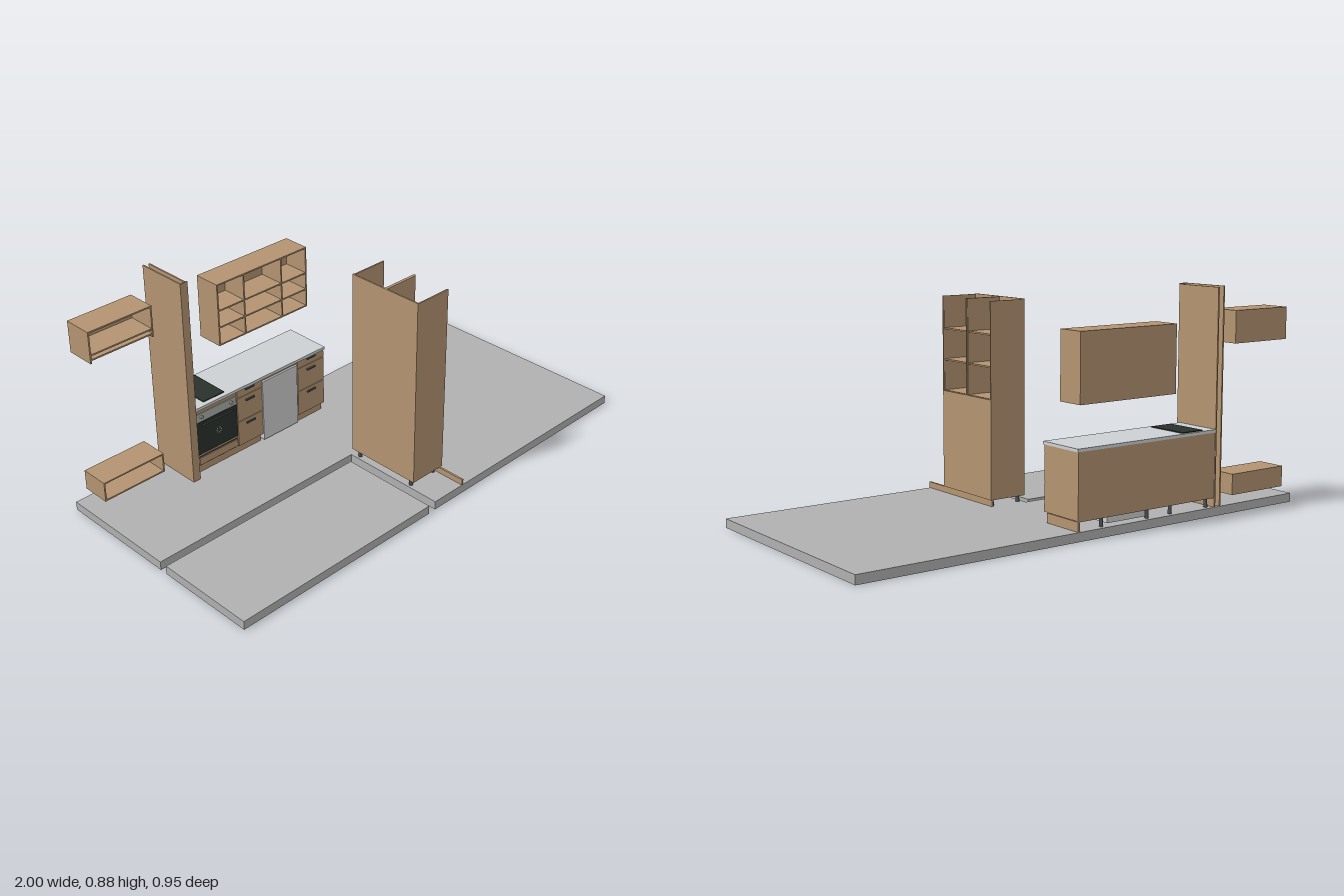
import * as THREE from 'three';

const mat = (name, color) => {
  const m = new THREE.MeshStandardMaterial({ color });
  m.name = name;
  return m;
};

export function createModel() {
  const wood = mat('wood', 0xb39471);
  const stone = mat('floorGrey', 0xb0b0b0);
  const counter = mat('worktopGrey', 0xcdd0d2);
  const white = mat('applianceWhite', 0xcccdce);
  const steel = mat('steel', 0xa8aea8);
  const black = mat('blackGlass', 0x2a322c);
  const dark = mat('darkMetal', 0x4a4f58);

  const model = new THREE.Group();
  const T = 0.006; // board thickness

  // box given by its minimum and maximum on each axis
  function box(parent, name, m, x0, x1, y0, y1, z0, z1) {
    const mesh = new THREE.Mesh(new THREE.BoxGeometry(x1 - x0, y1 - y0, z1 - z0), m);
    mesh.position.set((x0 + x1) / 2, (y0 + y1) / 2, (z0 + z1) / 2);
    mesh.name = name;
    parent.add(mesh);
    return mesh;
  }
  function group(name) {
    const g = new THREE.Group();
    g.name = name;
    model.add(g);
    return g;
  }
  function foot(parent, x, z, y1) {
    const f = new THREE.Mesh(new THREE.CylinderGeometry(0.006, 0.008, y1 - 0.035, 12), dark);
    f.position.set(x, (y1 + 0.035) / 2, z);
    f.name = 'foot';
    parent.add(f);
  }

  // Floor: an L-shaped slab and a separate smaller slab
  const floor = group('floor');
  const L = new THREE.Shape([[-1, 0.475], [1, 0.475], [1, -0.47], [-0.055, -0.47], [-0.055, -0.028], [-1, -0.028]]
    .map(([x, y]) => new THREE.Vector2(x, y)).reverse());
  const slab = new THREE.Mesh(new THREE.ExtrudeGeometry(L, { depth: 0.035, bevelEnabled: false }), stone);
  slab.rotation.x = -Math.PI / 2;
  slab.name = 'mainSlab';
  floor.add(slab);
  box(floor, 'smallSlab', stone, -1, -0.09, 0, 0.035, 0.06, 0.472);

  // Tall cabinet: closed below, open shelves above facing +x, no top
  const tall = group('tallCabinet');
  const tx0 = -0.052, tx1 = 0.108;
  box(tall, 'backBoard', wood, tx0, tx0 + T, 0.062, 0.826, 0.032, 0.356);
  for (const z of [0.032, 0.188, 0.194, 0.35])
    box(tall, 'uprightBoard', wood, tx0 + T, tx1 - 0.004, 0.062, 0.824, z, z + T);
  for (const y of [0.062, 0.446, 0.57, 0.693])
    box(tall, 'shelf', wood, tx0 + T, tx1 - 0.006, y, y + T, 0.036, 0.352);
  box(tall, 'door', wood, tx1 - 0.004, tx1, 0.062, 0.45, 0.032, 0.356);
  for (const z of [0.032, 0.191, 0.351])
    box(tall, 'frontEdge', wood, tx1 - 0.005, tx1, 0.45, 0.824, z, z + 0.005);
  box(tall, 'plinthBoard', wood, 0.094, 0.102, 0.036, 0.06, 0.036, 0.47);
  for (const x of [-0.038, 0.084]) for (const z of [0.06, 0.33]) foot(tall, x, z, 0.062);

  // Tall hollow pillar beside the kitchen run
  const pillar = group('pillar');
  box(pillar, 'frontBoard', wood, -0.61, -0.577, 0.035, 0.88, -0.268, -0.262);
  box(pillar, 'outerBoard', wood, -0.61, -0.604, 0.035, 0.88, -0.475, -0.268);
  box(pillar, 'innerBoard', wood, -0.583, -0.577, 0.035, 0.876, -0.475, -0.268);

  // Open box with a back, built from boards
  function openBox(name, x0, x1, y0, y1, z1, shelves, dividers) {
    const g = group(name), z0 = -0.475;
    box(g, 'back', wood, x0, x1, y0, y1, z0, z0 + 0.004);
    for (const x of [x0, x1 - T]) box(g, 'side', wood, x, x + T, y0, y1, z0 + 0.004, z1);
    box(g, 'top', wood, x0 + T, x1 - T, y1 - T, y1, z0 + 0.004, z1);
    for (const y of shelves) box(g, 'shelf', wood, x0 + T, x1 - T, y, y + T, z0 + 0.004, z1 - 0.001);
    for (const x of dividers) box(g, 'divider', wood, x - T / 2, x + T / 2, y0, y1 - T, z0 + 0.004, z1 - 0.0005);
  }
  openBox('upperWallShelf', -0.948, -0.672, 0.658, 0.784, -0.356, [0.668, 0.687], []);
  openBox('lowerWallShelf', -0.948, -0.672, 0.07, 0.152, -0.356, [0.07], []);
  openBox('wallCabinet', -0.368, 0.086, 0.492, 0.752, -0.362, [0.492, 0.566, 0.637], [-0.236, -0.046]);

  // Kitchen run
  const run = group('kitchenRun');
  const zF = -0.284;
  box(run, 'worktop', counter, -0.577, 0.095, 0.325, 0.337, -0.475, -0.275);
  box(run, 'backPanel', wood, -0.575, 0.092, 0.072, 0.325, -0.475, -0.468);
  box(run, 'ovenCabinet', wood, -0.575, -0.366, 0.075, 0.325, -0.468, zF);
  box(run, 'drawerCabinet', wood, -0.366, -0.238, 0.075, 0.325, -0.468, zF);
  box(run, 'endCabinet', wood, -0.05, 0.092, 0.075, 0.325, -0.468, zF);
  box(run, 'dishwasher', white, -0.236, -0.054, 0.046, 0.312, -0.462, -0.278);
  box(run, 'dishwasherTopRail', wood, -0.238, -0.05, 0.314, 0.325, -0.468, zF);
  box(run, 'leftPlinth', wood, -0.575, -0.24, 0.036, 0.073, -0.305, -0.297);
  box(run, 'rightPlinth', wood, -0.05, 0.092, 0.036, 0.073, -0.305, -0.297);
  box(run, 'endPlinth', wood, 0.084, 0.092, 0.036, 0.073, -0.475, -0.305);
  for (const x of [-0.555, -0.37, -0.255, -0.035]) for (const z of [-0.45, -0.32]) foot(run, x, z, 0.075);

  // Drawer fronts with bar handles
  for (const [x0, x1] of [[-0.365, -0.239], [-0.049, 0.092]]) {
    const c = (x0 + x1) / 2;
    for (const [y0, y1, h] of [[0.076, 0.184, 0.167], [0.187, 0.29, 0.27], [0.293, 0.324, 0.319]]) {
      box(run, 'drawerFront', wood, x0, x1, y0, y1, zF, zF + 0.005);
      box(run, 'handle', dark, c - 0.022, c + 0.022, h - 0.003, h + 0.003, zF + 0.005, zF + 0.011);
    }
  }

  // Oven with control strip, glass door and lower drawer
  const oven = group('oven');
  box(oven, 'controlPanel', steel, -0.566, -0.369, 0.27, 0.306, zF, zF + 0.004);
  box(oven, 'door', black, -0.566, -0.369, 0.128, 0.27, zF, zF + 0.006);
  box(oven, 'doorHandle', dark, -0.545, -0.39, 0.252, 0.257, zF + 0.006, zF + 0.012);
  for (const x of [-0.54, -0.395]) {
    const knob = new THREE.Mesh(new THREE.CylinderGeometry(0.007, 0.007, 0.008, 16), steel);
    knob.rotation.x = Math.PI / 2;
    knob.position.set(x, 0.29, zF + 0.006);
    knob.name = 'knob';
    oven.add(knob);
  }
  for (let i = 0; i < 8; i++) { // fan holes behind the glass
    const a = i * Math.PI / 4;
    const dot = new THREE.Mesh(new THREE.CircleGeometry(0.002, 8), counter);
    dot.position.set(-0.461 + 0.011 * Math.cos(a), 0.198 + 0.011 * Math.sin(a), zF + 0.0065);
    dot.name = 'fanHole';
    oven.add(dot);
  }
  box(oven, 'lowerDrawer', wood, -0.56, -0.37, 0.08, 0.112, zF, zF + 0.005);
  box(oven, 'drawerGap', dark, -0.56, -0.37, 0.112, 0.116, zF, zF + 0.002);

  // Cooktop
  box(run, 'cooktop', black, -0.515, -0.414, 0.337, 0.341, -0.467, -0.295);

  return model;
}
